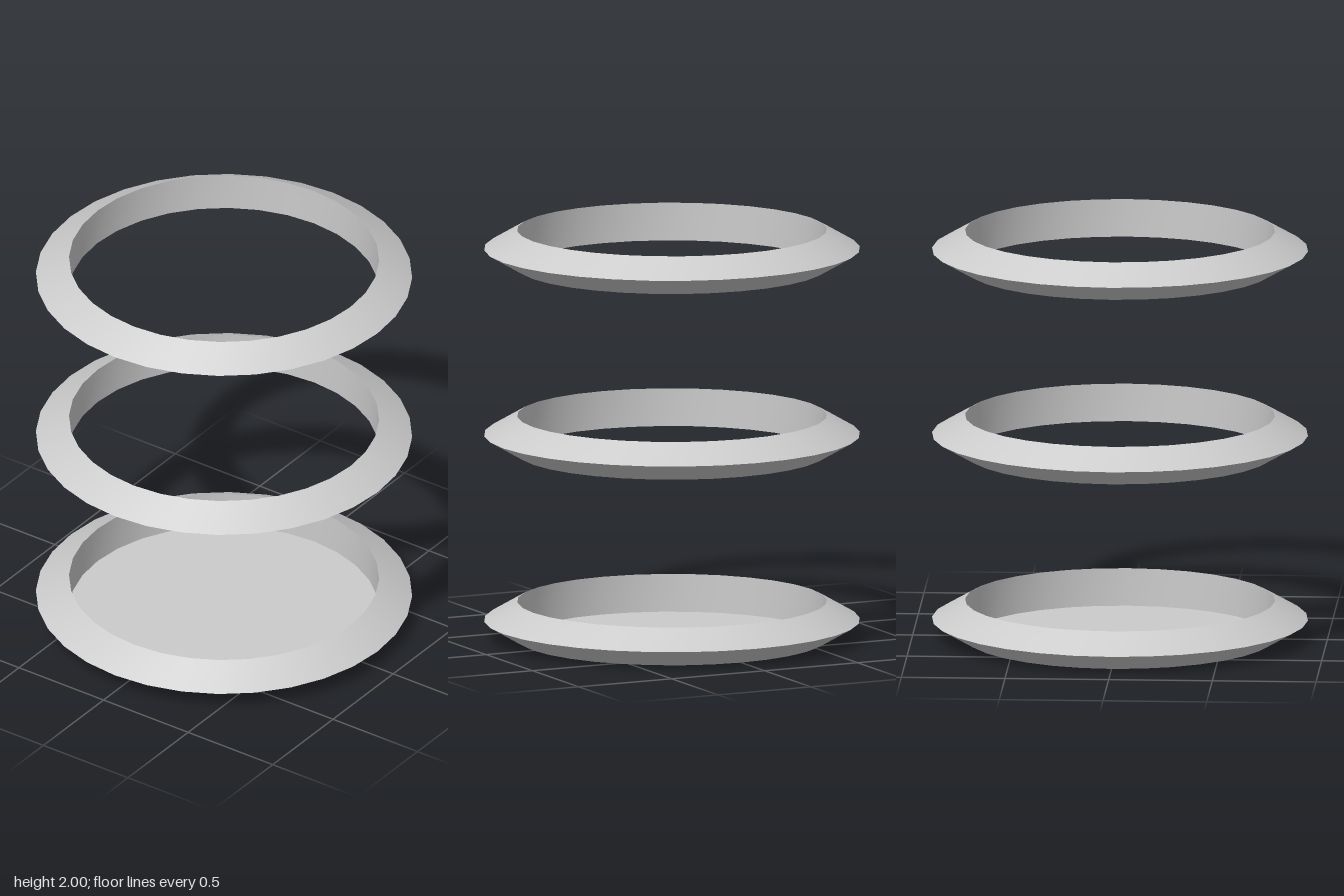
import * as THREE from 'three';
import { toCreasedNormals } from 'three/addons/utils/BufferGeometryUtils.js';

const SIDES = 32;
const RADIUS = 0.8;   // centre line of each ring
const TUBE = 0.1065;  // reach of the triangular section
const HALF = TUBE * Math.sin(Math.PI / 3); // half the height of a ring

export function createModel() {
  const group = new THREE.Group();
  group.name = 'stackedRings';
  const material = new THREE.MeshStandardMaterial({ color: 0xcccccc });

  // Triangular rings: sharp outer edge, upright inner wall
  const torus = new THREE.TorusGeometry(RADIUS, TUBE, 3, SIDES).rotateX(Math.PI / 2);
  const ringGeometry = toCreasedNormals(torus, Math.PI / 6);
  const heights = { bottomRing: HALF, middleRing: 1, topRing: 2 - HALF };
  for (const [name, y] of Object.entries(heights)) {
    const ring = new THREE.Mesh(ringGeometry, material);
    ring.name = name;
    ring.position.y = y;
    group.add(ring);
  }

  // Thin floor closing the underside of the bottom ring
  const floorMaterial = material.clone();
  floorMaterial.side = THREE.DoubleSide;
  const floor = new THREE.Mesh(
    new THREE.CircleGeometry(RADIUS - TUBE / 2, SIDES).rotateX(-Math.PI / 2),
    floorMaterial
  );
  floor.name = 'floor';
  group.add(floor);

  return group;
}
